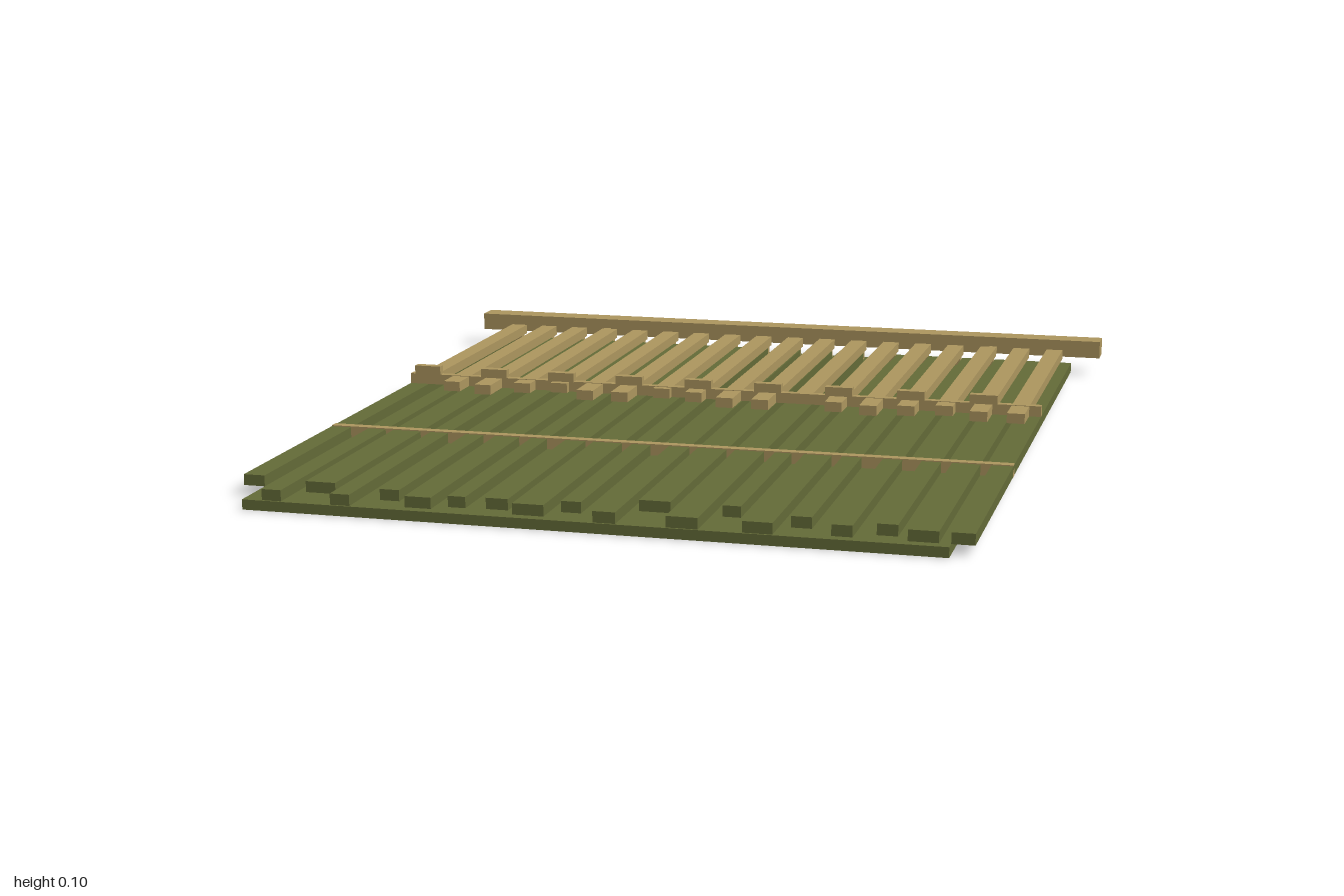
import * as THREE from 'three';

export function createModel() {
  const model = new THREE.Group();
  const green = new THREE.MeshStandardMaterial({ color: 0x646b38 });
  green.name = 'olive green';
  const tan = new THREE.MeshStandardMaterial({ color: 0xad965f });
  tan.name = 'bamboo tan';

  // Box given by its extents along each axis
  function block(name, material, [x0, x1], [y0, y1], [z0, z1], parent = model) {
    const mesh = new THREE.Mesh(new THREE.BoxGeometry(x1 - x0, y1 - y0, z1 - z0), material);
    mesh.position.set((x0 + x1) / 2, (y0 + y1) / 2, (z0 + z1) / 2);
    mesh.name = name;
    parent.add(mesh);
  }
  function group(name) {
    const g = new THREE.Group();
    g.name = name;
    model.add(g);
    return g;
  }

  // Backing sheet and the pole along the back edge
  block('backingSheet', green, [-0.78, 0.78], [0, 0.023], [-0.93, 1]);
  block('backPole', tan, [-0.9, 0.9], [0.05, 0.096], [-1, -0.935]);

  // Long green slats: left edge, right edge, front end
  const slats = group('greenSlats');
  [
    [-0.83, -0.78, 0.88], [-0.735, -0.69, 0.995], [-0.67, -0.6, 0.905], [-0.575, -0.53, 0.995],
    [-0.485, -0.44, 0.93], [-0.41, -0.35, 0.975], [-0.32, -0.28, 0.95], [-0.235, -0.185, 0.945],
    [-0.165, -0.095, 0.975], [-0.07, -0.025, 0.93], [0.02, 0.07, 0.995], [0.09, 0.16, 0.88],
    [0.18, 0.25, 0.995], [0.275, 0.315, 0.88], [0.345, 0.41, 0.995], [0.435, 0.48, 0.93],
    [0.53, 0.575, 0.975], [0.62, 0.665, 0.945], [0.69, 0.755, 0.975], [0.78, 0.83, 0.975],
  ].forEach(([x0, x1, z1]) => block('greenSlat', green, [x0, x1], [0.023, 0.048], [-0.86, z1], slats));

  // Shorter tan strips on top, each with a peg beneath its back end
  const strips = group('tanStrips');
  const pegs = group('pegs');
  const ends = [-0.155, -0.085, -0.065, -0.11, -0.135, -0.065, -0.065, -0.135, -0.11,
    -0.065, -0.065, -0.155, -0.085, -0.065, -0.085, -0.11, -0.065, -0.065];
  const stripX = (i) => -0.782 + i * 0.0918;
  ends.forEach((z1, i) => {
    const x = stripX(i);
    block('tanStrip', tan, [x - 0.022, x + 0.022], [0.048, 0.073], [-0.91, z1], strips);
    block('peg', tan, [x - 0.017, x + 0.017], [0.022, 0.049], [-0.905, -0.88], pegs);
  });

  // Two thin ties reaching the back pole
  [-0.52, 0.605].forEach((x) => block('poleTie', tan, [x - 0.01, x + 0.01], [0.05, 0.07], [-0.94, -0.9]));

  // Lashing woven through the strips, lifted over every second one
  const lashing = group('lashing');
  block('lashingCord', tan, [-0.83, 0.83], [0.048, 0.0745], [-0.175, -0.155], lashing);
  for (let i = 0; i < ends.length; i++) {
    if (i % 2) continue;
    const x = stripX(i);
    block('lashingLoop', tan, [x - 0.035, x + 0.035], [0.073, 0.096], [-0.176, -0.154], lashing);
  }

  // Flat binding cord across the green slats
  block('bindingCord', tan, [-0.83, 0.83], [0.022, 0.0505], [0.355, 0.378]);

  return model;
}
